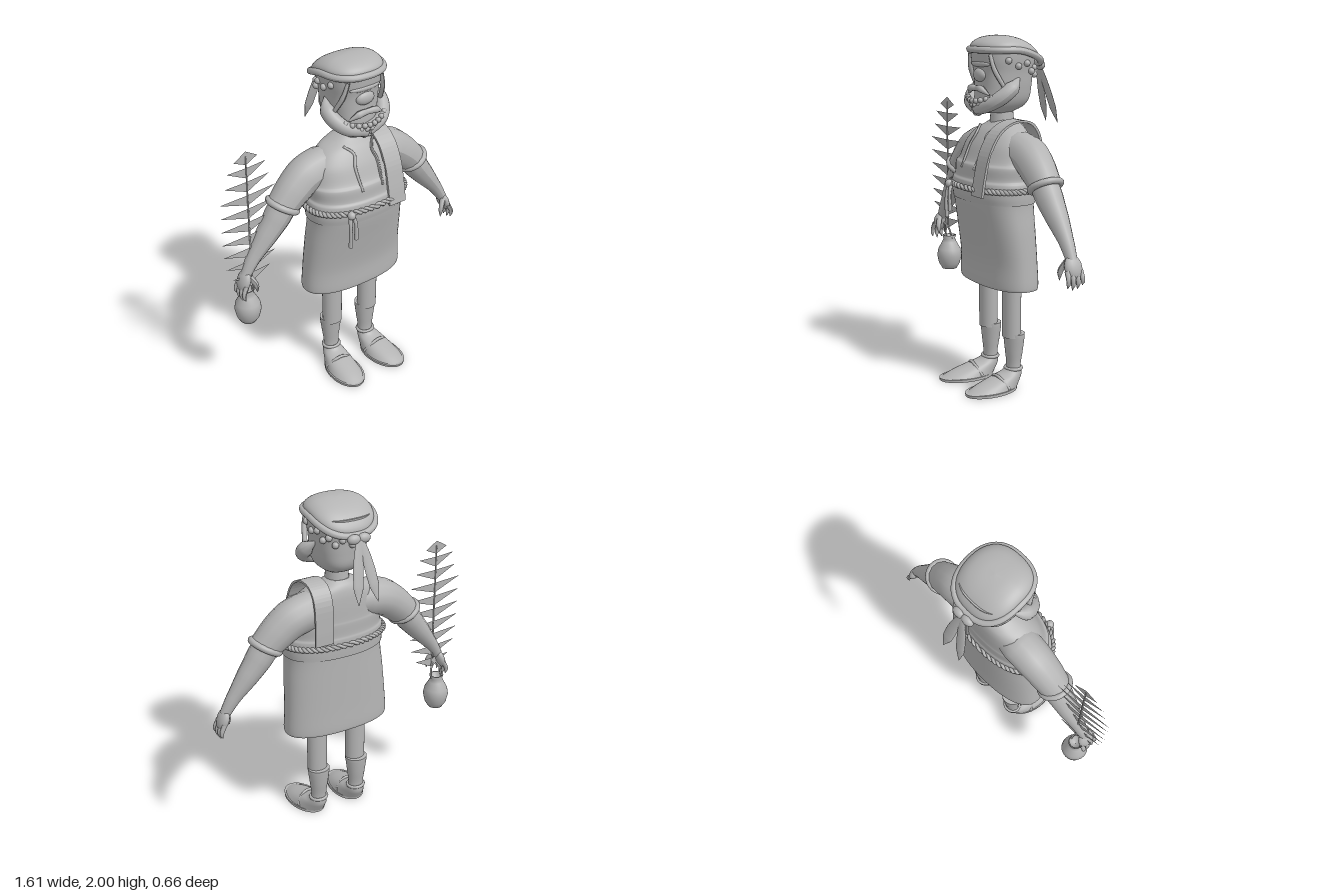
import * as THREE from 'three';

const clay = new THREE.MeshStandardMaterial({ color: 0xb4b4b4, side: THREE.DoubleSide });
clay.name = 'clay grey';
const V = (x, y, z) => new THREE.Vector3(x, y, z);
const SIDES = [-1, 1];

export function createModel() {
  const model = new THREE.Group();
  model.name = 'shepherd';
  const body = new THREE.Group();
  body.name = 'figure';
  body.position.x = 0.035;
  model.add(body);

  const add = (name, geo, x = 0, y = 0, z = 0, parent = body) => {
    const m = new THREE.Mesh(geo, clay);
    m.name = name;
    m.position.set(x, y, z);
    parent.add(m);
    return m;
  };

  // Point on a superelliptic ring [halfWidth, frontZ, backZ]
  const ringPoint = (rx, zf, zb, a, k) => {
    const p = v => Math.sign(v) * Math.pow(Math.abs(v), k);
    return [rx * p(Math.cos(a)), (zf + zb) / 2 + (zf - zb) / 2 * p(Math.sin(a))];
  };

  // Stacked horizontal sections [y, halfWidth, frontZ, backZ], smoothly joined
  const loft = (rows, { k = 1, steps = 5, n = 48, capTop = true, capBottom = true } = {}) => {
    const c1 = new THREE.CatmullRomCurve3(rows.map(r => V(r[0], r[1], r[2])), false, 'centripetal');
    const c2 = new THREE.CatmullRomCurve3(rows.map(r => V(r[0], r[3], 0)), false, 'centripetal');
    const pos = [], idx = [], total = (rows.length - 1) * steps;
    for (let i = 0; i <= total; i++) {
      const p = c1.getPoint(i / total), q = c2.getPoint(i / total);
      for (let j = 0; j < n; j++) {
        const [x, z] = ringPoint(p.y, p.z, q.y, j / n * Math.PI * 2, k);
        pos.push(x, p.x, z);
        if (i < total) {
          const a = i * n + j, b = i * n + (j + 1) % n;
          idx.push(a, a + n, b, b, a + n, b + n);
        }
      }
    }
    const cap = (row, ring, up) => {
      const c = pos.length / 3;
      for (let j = 0; j < n; j++) pos.push(...pos.slice((ring * n + j) * 3, (ring * n + j) * 3 + 3));
      pos.push(0, row[0], (row[2] + row[3]) / 2);
      for (let j = 0; j < n; j++) {
        const a = c + j, b = c + (j + 1) % n;
        idx.push(c + n, up ? b : a, up ? a : b);
      }
    };
    if (capBottom) cap(rows[0], 0, false);
    if (capTop) cap(rows[rows.length - 1], total, true);
    const g = new THREE.BufferGeometry();
    g.setAttribute('position', new THREE.Float32BufferAttribute(pos, 3));
    g.setIndex(idx);
    g.computeVertexNormals();
    return g;
  };

  // Tube whose radius follows a list of values
  const limb = (pts, radii, { n = 24, seg = 14, closed = false } = {}) => {
    const curve = new THREE.CatmullRomCurve3(pts.map(p => V(...p)), closed);
    const g = new THREE.TubeGeometry(curve, n, 1, seg, closed);
    const pos = g.attributes.position, v = V(0, 0, 0);
    for (let i = 0; i <= n; i++) {
      const c = curve.getPointAt(i / n), f = i / n * (radii.length - 1);
      const a = Math.min(Math.floor(f), radii.length - 1), b = Math.min(a + 1, radii.length - 1);
      const r = THREE.MathUtils.lerp(radii[a], radii[b], f - a);
      for (let j = 0; j <= seg; j++) {
        const id = i * (seg + 1) + j;
        v.fromBufferAttribute(pos, id).sub(c).multiplyScalar(r).add(c);
        pos.setXYZ(id, v.x, v.y, v.z);
      }
    }
    g.computeVertexNormals();
    return g;
  };
  const ball = (name, r, x, y, z, sx = 1, sy = 1, sz = 1) => {
    const m = add(name, new THREE.SphereGeometry(r, 16, 12), x, y, z);
    m.scale.set(sx, sy, sz);
    return m;
  };

  // Tunic: skirt below the belt, bodice above
  add('skirt', loft([[0.605, 0.325, 0.175, -0.115], [0.62, 0.328, 0.178, -0.118], [0.75, 0.32, 0.18, -0.115],
    [0.93, 0.308, 0.21, -0.112], [1.08, 0.295, 0.24, -0.11], [1.13, 0.3, 0.245, -0.11]],
  { k: 0.85, capBottom: false, capTop: false }));
  add('bodice', loft([[1.09, 0.305, 0.245, -0.118], [1.13, 0.308, 0.252, -0.12], [1.2, 0.305, 0.25, -0.12],
    [1.22, 0.292, 0.237, -0.115], [1.29, 0.295, 0.228, -0.115], [1.31, 0.282, 0.21, -0.112],
    [1.4, 0.26, 0.17, -0.108], [1.47, 0.2, 0.125, -0.1], [1.51, 0.12, 0.085, -0.085], [1.535, 0.07, 0.06, -0.06]],
  { k: 0.88 }));

  // Twisted rope belt with hanging ends
  for (let s = 0; s < 2; s++) {
    const pts = [];
    for (let i = 0; i < 240; i++) {
      const a = i / 240 * Math.PI * 2, t = a * 30 + s * Math.PI, d = 0.008 * Math.cos(t);
      const [x, z] = ringPoint(0.313 + d, 0.258 + d, -0.125 - d, a, 0.88);
      pts.push(V(x, 1.168 + 0.008 * Math.sin(t), z));
    }
    add('ropeBelt', new THREE.TubeGeometry(new THREE.CatmullRomCurve3(pts, true), 480, 0.01, 6, true));
  }
  ball('beltKnot', 0.024, -0.165, 1.165, 0.258);
  add('ropeEnd', limb([[-0.17, 1.17, 0.25], [-0.178, 1.1, 0.268], [-0.177, 0.97, 0.268]], [0.012, 0.01, 0.013]));
  add('ropeEnd', limb([[-0.155, 1.17, 0.25], [-0.143, 1.11, 0.268], [-0.14, 1.01, 0.268]], [0.012, 0.01, 0.013]));

  // Vest edges on the chest
  for (const s of SIDES) {
    add('vestEdge', limb([[s * 0.1, 1.5, 0.09], [s * 0.06, 1.46, 0.138], [s * 0.075, 1.4, 0.168], [s * 0.068, 1.27, 0.232]],
      [0.007, 0.009, 0.007], { seg: 8 }));
  }

  // Broad strap over one shoulder
  const strapLine = new THREE.CatmullRomCurve3([[0.265, 1.135], [0.245, 1.25], [0.21, 1.38], [0.14, 1.49], [0.04, 1.54],
    [-0.06, 1.53], [-0.115, 1.46], [-0.13, 1.3], [-0.13, 1.2]].map(p => V(p[0], p[1], 0))).getPoints(40);
  const strapShape = new THREE.Shape([
    ...strapLine.map(p => new THREE.Vector2(p.x, p.y)),
    ...strapLine.slice().reverse().map(p => new THREE.Vector2(p.x * 0.93 + 0.003, p.y - (p.y > 1.4 ? 0.012 : 0))),
  ]);
  const strap = add('shoulderStrap', new THREE.ExtrudeGeometry(strapShape, { depth: 0.112, bevelEnabled: false }), 0.21);
  strap.rotation.y = -Math.PI / 2;

  for (const s of SIDES) {
    // Sleeve, cuff, forearm and hand
    add('sleeve', limb([[s * 0.08, 1.37, 0], [s * 0.19, 1.37, 0], [s * 0.29, 1.345, 0], [s * 0.375, 1.285, 0.005], [s * 0.455, 1.21, 0.01]],
      [0.09, 0.112, 0.108, 0.1, 0.088]));
    const cuff = add('sleeveCuff', new THREE.TorusGeometry(0.084, 0.019, 12, 32), s * 0.45, 1.215, 0.01);
    cuff.quaternion.setFromUnitVectors(V(0, 0, 1), V(s * 0.5, -0.87, 0).normalize());
    add('forearm', limb([[s * 0.42, 1.25, 0.01], [s * 0.5, 1.14, 0.01], [s * 0.585, 1.035, 0.01], [s * 0.66, 0.94, 0.012], [s * 0.71, 0.86, 0.015]],
      [0.08, 0.076, 0.062, 0.043, 0.03]));
    const palm = ball('palm', 0.05, s * 0.722, 0.83, 0.015, 0.58, 1.3, 1.05);
    palm.rotation.z = s * 0.35;
    for (let f = 0; f < 4; f++) {
      const z = -0.024 + f * 0.027, drop = [0.02, 0.004, 0, 0.012][f];
      add('finger', limb([[s * 0.73, 0.815, z], [s * 0.752, 0.765, z * 1.1], [s * 0.745, 0.715 + drop, z * 1.15]],
        [0.015, 0.014, 0.013, 0.011, 0.001], { seg: 8, n: 12 }));
    }
    add('thumb', limb([[s * 0.7, 0.86, 0.04], [s * 0.672, 0.81, 0.06], [s * 0.665, 0.755, 0.062]],
      [0.018, 0.016, 0.014, 0.001], { seg: 8, n: 12 }));

    // Leg, sock and shoe
    const x = s * 0.13;
    add('leg', new THREE.CylinderGeometry(0.065, 0.06, 0.6, 24), x, 0.6, 0.022).scale.z = 0.85;
    add('sock', loft([[0.08, 0.048, 0.05, -0.03], [0.14, 0.047, 0.048, -0.032], [0.22, 0.056, 0.056, -0.045],
      [0.3, 0.066, 0.064, -0.054], [0.32, 0.067, 0.066, -0.055]], { n: 24 }), x);
    const ring = add('ankleTie', new THREE.TorusGeometry(0.05, 0.01, 8, 28), x, 0.112, 0.01);
    ring.rotation.x = Math.PI / 2;
    ring.scale.y = 0.9;
    const shoe = new THREE.Group();
    shoe.name = 'shoe';
    shoe.position.x = x;
    shoe.rotation.y = s * 0.09;
    body.add(shoe);
    add('sole', loft([[0, 0.1, 0.332, 0.0], [0.016, 0.1, 0.335, 0.0]], { n: 32, steps: 1 }), 0, 0, 0, shoe);
    add('shoeUpper', loft([[0.014, 0.093, 0.325, -0.005], [0.04, 0.082, 0.265, -0.02], [0.07, 0.068, 0.17, -0.035],
      [0.095, 0.055, 0.085, -0.038], [0.118, 0.047, 0.055, -0.034]], { n: 32 }), 0, 0, 0, shoe);
    add('shoeStrap', limb([[-0.085, 0.02, 0.1], [-0.06, 0.06, 0.12], [0, 0.088, 0.13], [0.06, 0.06, 0.12], [0.085, 0.02, 0.1]],
      [0.009, 0.009], { seg: 8 }), 0, 0, 0, shoe);
  }

  // Neck and head
  add('neck', new THREE.CylinderGeometry(0.058, 0.072, 0.16, 24), 0, 1.56, 0.008);
  add('head', loft([[1.575, 0.06, 0.12, -0.04], [1.61, 0.105, 0.15, -0.11], [1.65, 0.128, 0.155, -0.138], [1.72, 0.142, 0.152, -0.148],
    [1.8, 0.15, 0.155, -0.155], [1.86, 0.16, 0.165, -0.165], [1.92, 0.165, 0.17, -0.17]], { k: 0.75 }));
  ball('nose', 0.035, 0, 1.785, 0.15, 1.7, 1.1, 0.75);
  ball('brow', 0.05, 0, 1.845, 0.145, 2, 0.4, 0.5);

  // Moustache and curled beard
  for (const s of SIDES) {
    add('moustache', limb([[0, 1.712, 0.17], [s * 0.05, 1.712, 0.175], [s * 0.11, 1.68, 0.155]], [0.016, 0.02, 0.004], { seg: 10 }));
    add('sideBeard', limb([[s * 0.14, 1.77, -0.015], [s * 0.168, 1.725, 0.035], [s * 0.163, 1.68, 0.09], [s * 0.11, 1.63, 0.145], [0, 1.6, 0.165]],
      [0.006, 0.042, 0.042, 0.036, 0.038]));
    add('hairLock', limb([[s * 0.11, 1.9, 0.15], [s * 0.13, 1.82, 0.135], [s * 0.155, 1.72, 0.085]], [0.01, 0.014, 0.012], { seg: 8 }));
  }
  for (let row = 0; row < 4; row++) {
    const count = [9, 8, 6, 4][row];
    for (let i = 0; i < count; i++) {
      const t = (i / (count - 1) - 0.5) * 2, w = [0.13, 0.11, 0.085, 0.05][row];
      ball('beardCurl', 0.0155, t * w, 1.645 - row * 0.024 + t * t * 0.022, 0.198 - row * 0.008 - t * t * 0.05);
    }
  }

  // Curls of hair round the back of the head
  for (let i = 0; i < 15; i++) {
    const a = Math.PI * (0.92 + 1.16 * i / 14), back = Math.max(0, -Math.sin(a));
    const [x, z] = ringPoint(0.16, 0.165, -0.16, a, 0.75);
    ball('hairCurl', 0.019, x, 1.865 - back * 0.06 - (i % 2) * 0.03, z);
  }

  // Domed cap, padded band, knot and tails
  const sag = z => 1.922 - Math.pow(Math.max(0, 0.03 - z) / 0.24, 1.7) * 0.085;
  const cap = loft([[0, 0.178, 0.178, -0.198], [0.03, 0.172, 0.17, -0.19], [0.058, 0.14, 0.135, -0.155],
    [0.074, 0.085, 0.08, -0.1], [0.079, 0.005, 0, -0.01]], { k: 0.8, capBottom: false });
  const cp = cap.attributes.position;
  for (let i = 0; i < cp.count; i++) cp.setY(i, cp.getY(i) + sag(cp.getZ(i)));
  cap.computeVertexNormals();
  add('cap', cap);
  const band = [];
  for (let i = 0; i < 40; i++) {
    const [x, z] = ringPoint(0.177, 0.177, -0.203, i / 40 * Math.PI * 2, 0.8);
    band.push([x, sag(z), z]);
  }
  add('headBand', limb(band, [0.019, 0.019], { n: 80, closed: true }));
  for (const s of SIDES) {
    ball('bandKnot', 0.028, s * 0.03, 1.83, -0.225, 1.4, 1, 0.9);
    const tail = limb([[0, 1.83, -0.235], [s * 0.025, 1.73, -0.262], [s * 0.045, 1.61, -0.295], [s * 0.06, 1.5, -0.328]],
      [0.022, 0.028, 0.032, 0.03, 0.002], { n: 30 });
    const tp = tail.attributes.position;
    // flatten towards the line the tail follows
    for (let i = 0; i < tp.count; i++) {
      const line = -0.235 - (1.83 - tp.getY(i)) * 0.285;
      tp.setZ(i, line + (tp.getZ(i) - line) * 0.3);
    }
    tail.computeVertexNormals();
    add('bandTail', tail);
  }

  // Water jar hanging from the right hand
  const jar = [[0.001, 0.525], [0.045, 0.525], [0.066, 0.56], [0.077, 0.61], [0.07, 0.65], [0.045, 0.695],
    [0.036, 0.715], [0.043, 0.738], [0.034, 0.738], [0.028, 0.71], [0.001, 0.7]].map(p => new THREE.Vector2(...p));
  add('jar', new THREE.LatheGeometry(jar, 28), -0.685, 0, -0.02);
  for (const s of SIDES) {
    add('jarCord', limb([[-0.685 + s * 0.036, 0.72, -0.02], [-0.685 + s * 0.03, 0.78, -0.005], [-0.69, 0.82, 0.01]], [0.006, 0.006], { seg: 8 }));
  }

  // Palm frond: a thin stem with pairs of pointed leaflets
  add('frondStem', new THREE.CylinderGeometry(0.004, 0.006, 0.78, 8), -0.66, 1.19, 0);
  const leaf = (w, y, low, high) => {
    const g = new THREE.BufferGeometry();
    g.setAttribute('position', new THREE.Float32BufferAttribute([0, low, 0, w, y, -w * 0.08, 0, high, 0], 3));
    g.computeVertexNormals();
    add('leaflet', g, -0.66);
  };
  const widths = [0.125, 0.145, 0.182, 0.182, 0.182, 0.182, 0.178, 0.165, 0.125];
  for (const s of SIDES) {
    leaf(s * 0.075, 1.565, 1.53, 1.61);
    widths.forEach((w, i) => {
      const y = 1.515 - i * 0.0825;
      leaf(s * w, y, y - 0.065, y - 0.004);
    });
  }
  return model;
}
